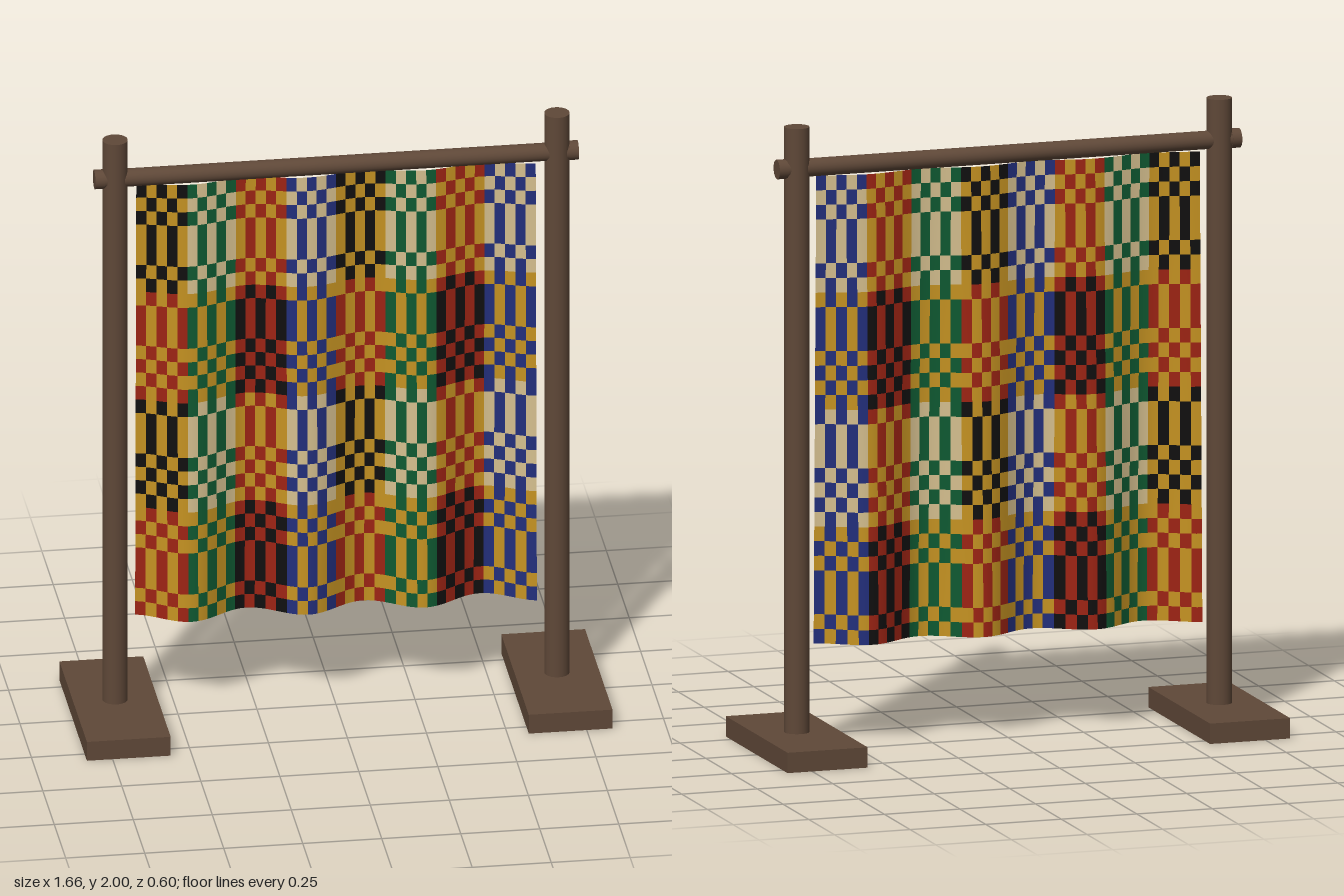
import * as THREE from 'three';

const mat = (name, color, side = THREE.FrontSide) => {
  const m = new THREE.MeshStandardMaterial({ color, side });
  m.name = name;
  return m;
};

// Cloth layout: 8 woven strips, 4 blocks high, each block 5 x 8 cells
const STRIPS = 8, BLOCKS = 4, COLS = 5, ROWS = 8, SUB = 2;
const WIDTH = 1.26, HEIGHT = 1.5, TOP = 1.835;

// Yarn indices
const YELLOW = 0, BLACK = 1, CREAM = 2, GREEN = 3, RED = 4, BLUE = 5;
// [ground, motif] for each strip, in odd and even blocks
const PAIRS = [
  [[YELLOW, BLACK], [CREAM, GREEN], [YELLOW, RED], [CREAM, BLUE]],
  [[YELLOW, RED], [YELLOW, GREEN], [RED, BLACK], [YELLOW, BLUE]],
];
// Row parities: repeated letters make tall bars, alternating ones a checker
const WEAVE = ['EOEOOOEO', 'OEEEOEOE', 'EOOOEOEO', 'OEOEEEOE'];

function yarnAt(col, row) {
  const block = Math.floor(row / ROWS), strip = Math.floor(col / COLS);
  const [ground, motif] = PAIRS[block % 2][strip % 4];
  const even = WEAVE[block][row % ROWS] === 'E';
  return ((col % COLS) % 2 === 0) === even ? motif : ground;
}

function makeCloth(materials) {
  const nx = STRIPS * COLS * SUB, ny = BLOCKS * ROWS;
  const geo = new THREE.PlaneGeometry(WIDTH, HEIGHT, nx, ny);
  geo.translate(0, TOP - HEIGHT / 2, 0);

  // Soft vertical folds that deepen toward the hem
  const p = geo.attributes.position;
  for (let i = 0; i < p.count; i++) {
    const drop = (TOP - p.getY(i)) / HEIGHT;
    p.setZ(i, -(0.014 + 0.026 * drop) * Math.sin(17 * p.getX(i)));
  }
  geo.computeVertexNormals();

  // Sort the faces by yarn colour into material groups
  const old = geo.index.array;
  const buckets = materials.map(() => []);
  for (let r = 0; r < ny; r++) {
    for (let c = 0; c < nx; c++) {
      const start = (r * nx + c) * 6;
      const bucket = buckets[yarnAt(Math.floor(c / SUB), r)];
      for (let k = 0; k < 6; k++) bucket.push(old[start + k]);
    }
  }
  geo.setIndex(buckets.flat());
  geo.clearGroups();
  let offset = 0;
  buckets.forEach((b, i) => {
    geo.addGroup(offset, b.length, i);
    offset += b.length;
  });
  const cloth = new THREE.Mesh(geo, materials);
  cloth.name = 'wovenCloth';
  return cloth;
}

export function createModel() {
  const model = new THREE.Group();
  model.name = 'clothOnStand';
  const wood = mat('dark wood', 0x5f4838);
  const yarns = [
    mat('yellow yarn', 0xc69322, THREE.DoubleSide),
    mat('black yarn', 0x111010, THREE.DoubleSide),
    mat('cream yarn', 0xd6c08f, THREE.DoubleSide),
    mat('green yarn', 0x0f5a32, THREE.DoubleSide),
    mat('red yarn', 0x9e2414, THREE.DoubleSide),
    mat('blue yarn', 0x232f7c, THREE.DoubleSide),
  ];
  const add = (name, geo, x, y) => {
    const m = new THREE.Mesh(geo, wood);
    m.name = name;
    m.position.set(x, y, 0);
    model.add(m);
  };

  // Foot, post and rod knob on each side
  for (const [side, s] of [['left', 1], ['right', -1]]) {
    add(side + 'Foot', new THREE.BoxGeometry(0.265, 0.065, 0.6), s * 0.699, 0.0325);
    add(side + 'Post', new THREE.CylinderGeometry(0.04, 0.04, 1.94, 20), s * 0.699, 1.03);
    add(side + 'RodKnob', new THREE.CylinderGeometry(0.031, 0.031, 0.03, 20).rotateZ(Math.PI / 2), s * 0.75, 1.867);
  }

  // Hanging rod
  add('hangingRod', new THREE.CylinderGeometry(0.029, 0.029, 1.5, 20).rotateZ(Math.PI / 2), 0, 1.867);

  model.add(makeCloth(yarns));
  return model;
}
